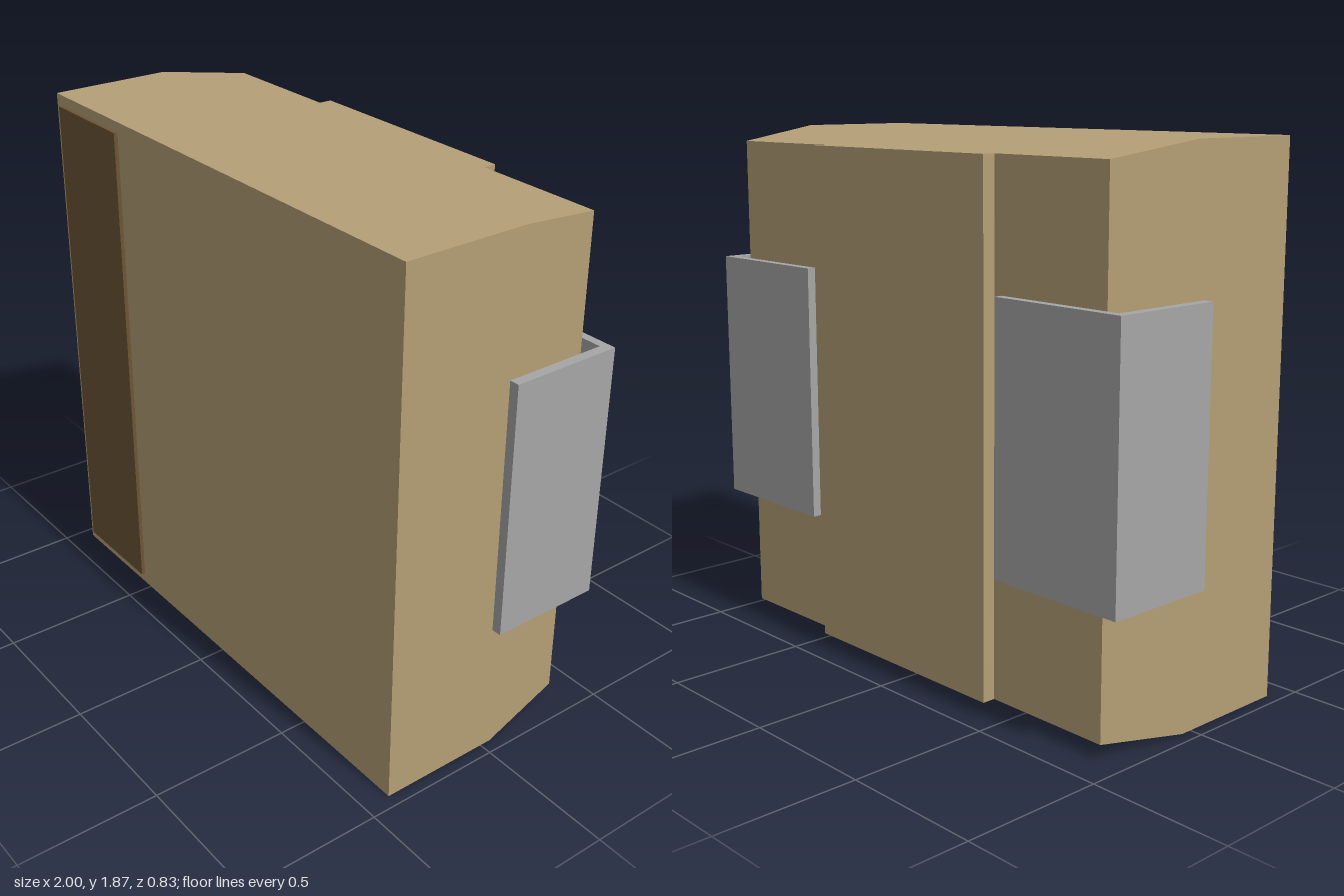
import * as THREE from 'three';

const tan = new THREE.MeshStandardMaterial({ name: 'tan casing', color: 0xb59f76 });
const brown = new THREE.MeshStandardMaterial({ name: 'dark brown', color: 0x6e5535 });
const grey = new THREE.MeshStandardMaterial({ name: 'bracket grey', color: 0xa6a6a6 });

// Box given by its minimum and maximum corners
function box(name, material, [x0, y0, z0], [x1, y1, z1]) {
  const mesh = new THREE.Mesh(new THREE.BoxGeometry(x1 - x0, y1 - y0, z1 - z0), material);
  mesh.position.set((x0 + x1) / 2, (y0 + y1) / 2, (z0 + z1) / 2);
  mesh.name = name;
  return mesh;
}

// Casing: straight front half, rear half tapering on all four sides
function casing() {
  const halfW = 0.955, halfH = 0.935, taper = 0.05;
  const box2 = new THREE.BoxGeometry(halfW * 2, halfH * 2, 2, 1, 1, 2);
  const p = box2.attributes.position;
  for (let i = 0; i < p.count; i++) {
    const z = p.getZ(i);
    if (z < -0.5) {
      p.setX(i, Math.sign(p.getX(i)) * (halfW - taper));
      p.setY(i, Math.sign(p.getY(i)) * (halfH - taper));
    }
    p.setZ(i, z > 0.5 ? 0.403 : z < -0.5 ? -0.37 : -0.04);
  }
  const geometry = box2.toNonIndexed();
  geometry.computeVertexNormals();
  const mesh = new THREE.Mesh(geometry, tan);
  mesh.position.y = halfH;
  mesh.name = 'casing';
  return mesh;
}

// L-shaped bracket wrapping a rear corner, extruded upwards
function bracket(side) {
  const outline = [[1, 0.008], [1, 0.417], [0.48, 0.417], [0.48, 0.386], [0.965, 0.386], [0.965, 0.008]];
  const shape = new THREE.Shape(outline.map(([x, z]) => new THREE.Vector2(x * side, z)));
  const geometry = new THREE.ExtrudeGeometry(shape, { depth: 0.907, bevelEnabled: false });
  geometry.rotateX(-Math.PI / 2);
  const mesh = new THREE.Mesh(geometry, grey);
  mesh.position.y = 0.484;
  mesh.name = side > 0 ? 'leftBracket' : 'rightBracket';
  return mesh;
}

export function createModel() {
  const group = new THREE.Group();
  group.name = 'bracketedBox';
  group.add(
    casing(),
    box('backPanel', tan, [-0.43, 0.05, -0.417], [0.43, 1.82, -0.37]),
    box('frontStrip', brown, [-0.92, 0.04, 0.403], [-0.54, 1.833, 0.417]),
    bracket(1),
    bracket(-1),
  );
  return group;
}
